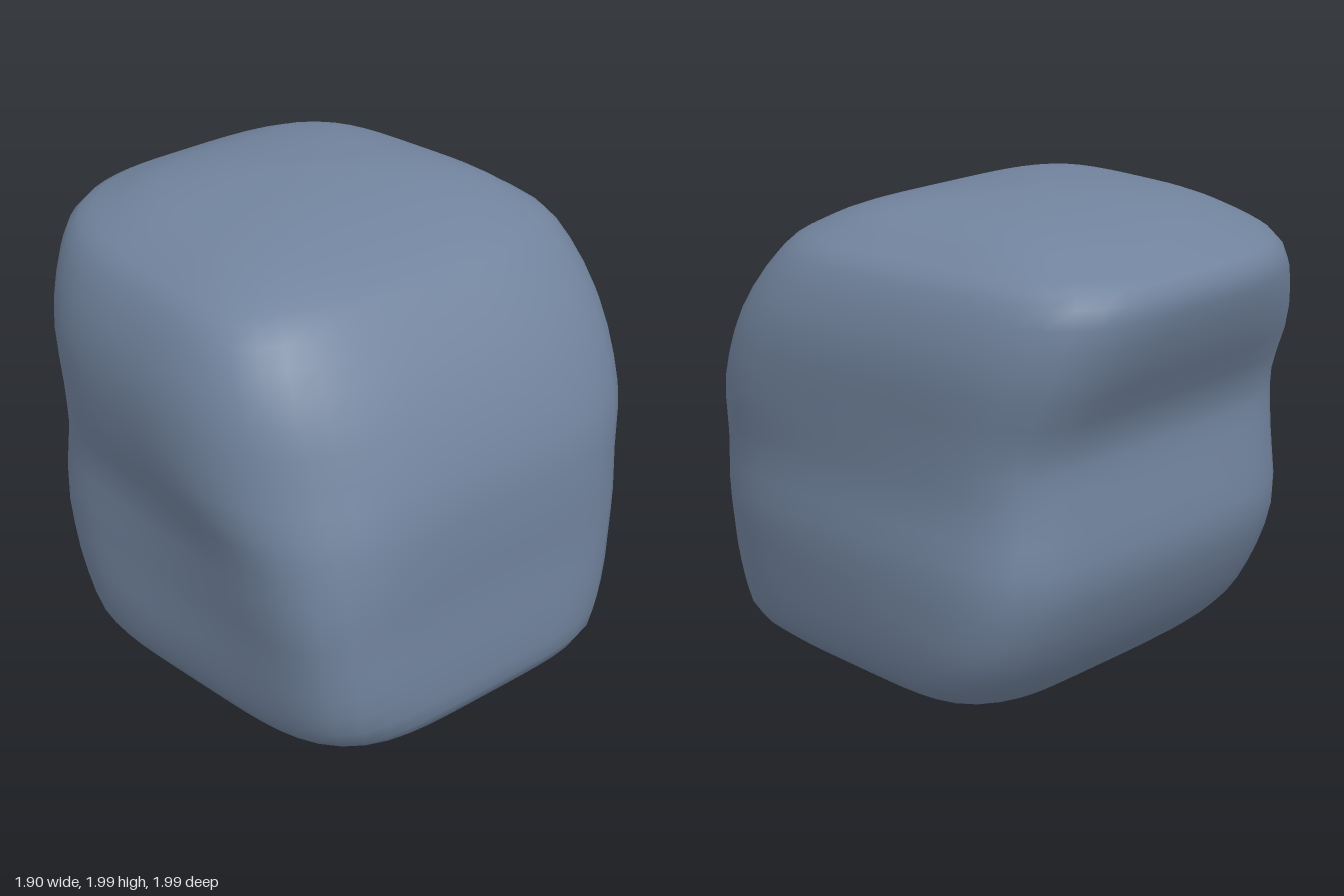
import * as THREE from 'three';

// Horizontal sections, bottom to top: y, left x, right x, front z, back z, then
// corner squareness for: -x back, -x front, +x front, +x back
const SECTIONS = [
  [0.0, 0.15, 0.15, -0.08, -0.08, 4, 4, 4, 4],
  [0.025, -0.27, 0.48, 0.4, -0.32, 4, 3.5, 4, 4],
  [0.06, -0.52, 0.62, 0.72, -0.4, 4.5, 3.5, 4, 4],
  [0.16, -0.77, 0.79, 0.95, -0.52, 6, 4, 5, 5],
  [0.37, -0.84, 0.86, 0.99, -0.68, 5, 7, 5.5, 6],
  [0.66, -0.85, 0.89, 0.985, -0.8, 5, 7, 5, 6],
  [0.94, -0.88, 0.89, 0.99, -0.78, 5.5, 4.5, 4.3, 7],
  [1.2, -0.95, 0.93, 0.96, -0.77, 5, 2.9, 3.9, 8],
  [1.5, -0.94, 0.95, 0.83, -0.93, 3.4, 3.2, 3.8, 5.5],
  [1.75, -0.83, 0.88, 0.64, -1.0, 2.7, 4.2, 4, 4.5],
  [1.85, -0.7, 0.77, 0.5, -0.84, 2.7, 4.2, 4, 4.5],
  [1.92, -0.51, 0.65, 0.32, -0.66, 2.8, 4, 4, 4],
  [1.965, -0.22, 0.45, 0.1, -0.42, 3, 4, 4, 4],
  [1.985, 0.12, 0.12, -0.17, -0.17, 4, 4, 4, 4],
];
const SIDES = 64, STEPS = 3;

// Smooth interpolation between neighbouring sections
function sectionAt(t) {
  const last = SECTIONS.length - 1;
  const i = Math.min(Math.floor(t), last - 1), f = t - i;
  const [p, a, b, n] = [i - 1, i, i + 1, i + 2].map((k) => SECTIONS[THREE.MathUtils.clamp(k, 0, last)]);
  return a.map((v, k) => v + 0.5 * f * (b[k] - p[k] + f * (2 * p[k] - 5 * v + 4 * b[k] - n[k]
    + f * (3 * (v - b[k]) + n[k] - p[k]))));
}

// Boulder skin: stacked rounded-square rings, each corner with its own squareness
function boulderGeometry() {
  const pos = [], index = [];
  const rows = (SECTIONS.length - 1) * STEPS;
  for (let r = 0; r <= rows; r++) {
    const [y, xl, xr, zf, zb, leftBack, leftFront, rightFront, rightBack] = sectionAt(r / STEPS);
    const cx = (xl + xr) / 2, cz = (zf + zb) / 2, hx = (xr - xl) / 2, hz = (zf - zb) / 2;
    // Front narrows near the ground, back narrows higher up
    const taper = THREE.MathUtils.lerp(-0.05, 0.09, THREE.MathUtils.smoothstep(y, 0.3, 1.3));
    for (let s = 0; s < SIDES; s++) {
      const a = (s / SIDES) * Math.PI * 2, c = Math.cos(a), d = Math.sin(a);
      const power = c < 0 ? (d < 0 ? leftBack : leftFront) : (d < 0 ? rightBack : rightFront);
      const k = Math.pow(Math.pow(Math.abs(c), power) + Math.pow(Math.abs(d), power), -1 / power);
      const wide = 1 + taper * d * k - Math.abs(taper) * 0.3;
      pos.push(cx + hx * c * k * wide, y, cz + hz * d * k);
      if (r < rows) {
        const i = r * SIDES + s, j = r * SIDES + (s + 1) % SIDES;
        index.push(i, i + SIDES, j, j, i + SIDES, j + SIDES);
      }
    }
  }
  const g = new THREE.BufferGeometry();
  g.setAttribute('position', new THREE.Float32BufferAttribute(pos, 3));
  g.setIndex(index);
  g.computeVertexNormals();
  return g;
}

export function createModel() {
  const slate = new THREE.MeshStandardMaterial({ color: 0x71839d });
  slate.name = 'slate';
  const boulder = new THREE.Mesh(boulderGeometry(), slate);
  boulder.name = 'boulder';
  const group = new THREE.Group();
  group.name = 'rock';
  group.add(boulder);
  return group;
}
